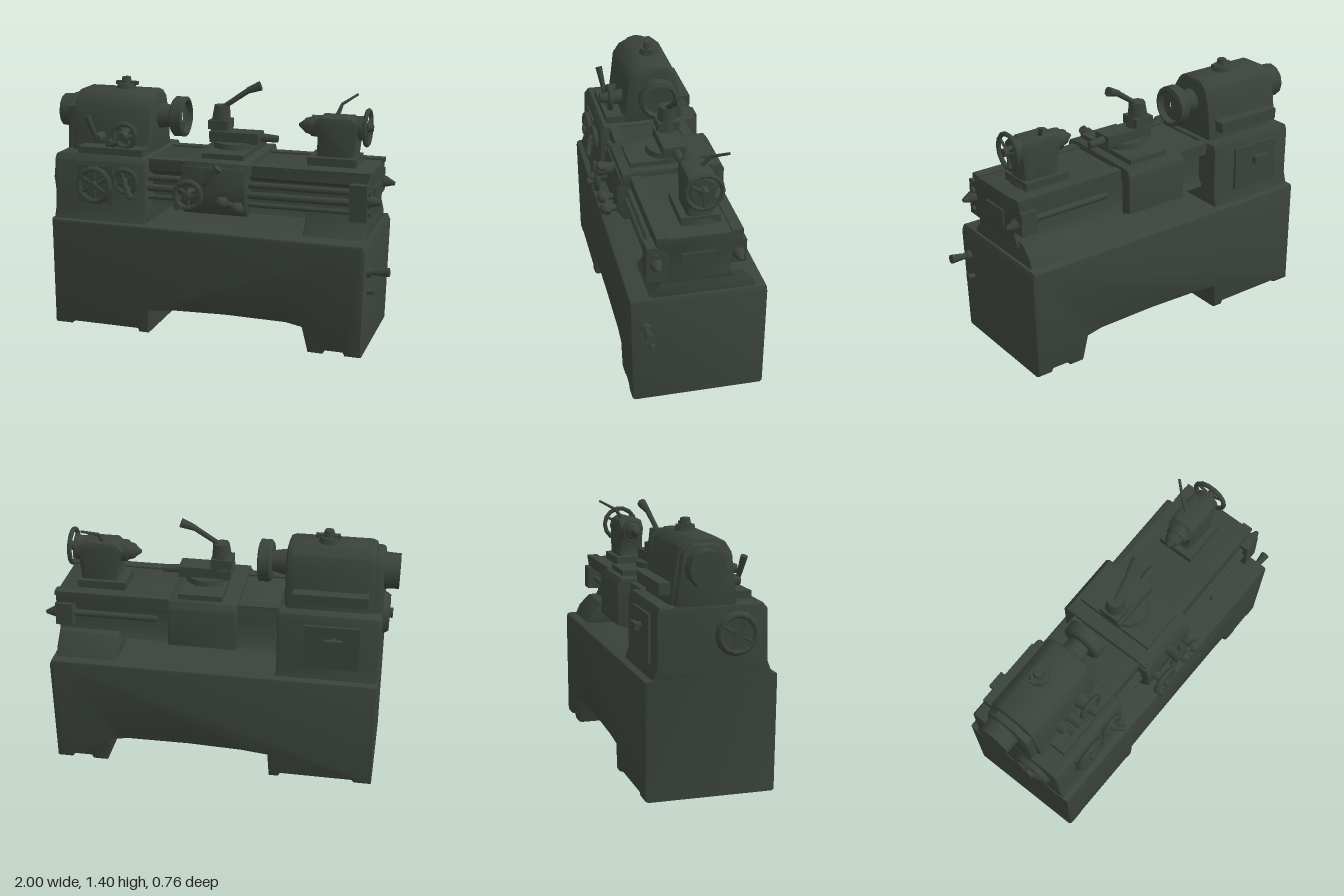
import * as THREE from 'three';
import { toCreasedNormals } from 'three/addons/utils/BufferGeometryUtils.js';

const paint = new THREE.MeshStandardMaterial({ color: 0x3a423c });
paint.name = 'dark green grey paint';

const V = (a) => new THREE.Vector3(...a);

export function createModel() {
  const model = new THREE.Group();
  model.name = 'metalworkingLathe';

  const add = (name, geo, parent = model) => {
    const m = new THREE.Mesh(geo, paint);
    m.name = name;
    parent.add(m);
    return m;
  };
  const group = (name) => {
    const g = new THREE.Group();
    g.name = name;
    model.add(g);
    return g;
  };
  // Box given by its limits on each axis
  const box = (name, x0, x1, y0, y1, z0, z1, parent) =>
    add(name, new THREE.BoxGeometry(x1 - x0, y1 - y0, z1 - z0)
      .translate((x0 + x1) / 2, (y0 + y1) / 2, (z0 + z1) / 2), parent);
  // Round bar between two points, r0 at the first end and r1 at the second
  const bar = (name, a, b, r0, r1 = r0, sides = 10, parent = model) => {
    const A = V(a), d = V(b).sub(A), len = d.length();
    const geo = new THREE.CylinderGeometry(r1, r0, len, sides).translate(0, len / 2, 0);
    geo.applyQuaternion(new THREE.Quaternion().setFromUnitVectors(new THREE.Vector3(0, 1, 0), d.normalize()));
    return add(name, geo.translate(A.x, A.y, A.z), parent);
  };
  const bevelled = (pts, depth, b, holes = []) => {
    const shape = new THREE.Shape(pts.map((p) => new THREE.Vector2(...p)));
    shape.holes = holes;
    return new THREE.ExtrudeGeometry(shape, {
      depth: depth - 2 * b, bevelEnabled: b > 0, bevelSize: b, bevelThickness: b, bevelOffset: -b, bevelSegments: 2,
    }).translate(0, 0, b);
  };
  // Profile of [z, y] points swept along x
  const sweepX = (name, pts, x0, x1, b, parent) =>
    add(name, toCreasedNormals(bevelled(pts, x1 - x0, b).rotateY(-Math.PI / 2).translate(x1, 0, 0), 0.7), parent);
  // Spoked wheel facing z or x
  const wheel = (name, x, y, z, r, tube, axis = 'z', spokes = 3) => {
    const g = group(name);
    add('rim', new THREE.TorusGeometry(r - tube, tube, 6, 14), g);
    bar('hub', [0, 0, -0.03], [0, 0, 0.03], r * 0.28, r * 0.2, 10, g);
    for (let i = 0; i < spokes; i++) {
      const t = (i / spokes) * Math.PI * 2 + 0.5;
      bar('spoke', [0, 0, 0], [Math.cos(t) * (r - tube), Math.sin(t) * (r - tube), 0], tube * 0.7, tube * 0.7, 6, g);
    }
    if (axis === 'x') g.rotation.y = Math.PI / 2;
    g.position.set(x, y, z);
    return g;
  };

  // Cabinet base with arched underside; the front flares slightly to the right
  const baseGeo = bevelled([
    [-0.93, 0.01], [-0.83, 0.01], [-0.82, 0.025], [-0.42, 0.025], [-0.41, 0.005], [-0.355, 0.005], [-0.345, 0.14],
    [-0.2, 0.155], [0.1, 0.165], [0.45, 0.162], [0.54, 0.145], [0.575, 0.005], [0.66, 0.005], [0.67, 0.025],
    [0.77, 0.025], [0.78, 0.005], [0.87, 0.005], [0.885, 0.6], [0.87, 0.635], [-0.93, 0.635],
  ], 0.71, 0.018).translate(0, 0, -0.38);
  const bp = baseGeo.attributes.position;
  for (let i = 0; i < bp.count; i++) {
    if (bp.getZ(i) > 0) bp.setZ(i, bp.getZ(i) + bp.getX(i) * 0.015 + (bp.getY(i) > 0.3 ? 0.008 : 0));
  }
  add('cabinetBase', toCreasedNormals(baseGeo, 0.7));
  bar('baseLever', [0.87, 0.475, 0.27], [1.0, 0.485, 0.27], 0.012, 0.026, 8);
  bar('baseLeverBoss', [0.87, 0.475, 0.27], [0.905, 0.475, 0.27], 0.03, 0.025);
  bar('basePin', [0.87, 0.355, 0.24], [0.92, 0.36, 0.24], 0.016);

  // Gearbox under the headstock
  sweepX('gearbox', [[0.3, 0.62], [0.27, 0.7], [0.265, 0.97], [0.24, 1.0], [-0.3, 1.0], [-0.315, 0.97],
    [-0.315, 0.7], [-0.34, 0.62]], -0.925, -0.375, 0.015);
  box('rearPanel', -0.82, -0.52, 0.7, 0.95, -0.33, -0.31);
  bar('rearHandleStem', [-0.68, 0.87, -0.32], [-0.68, 0.87, -0.375], 0.02);
  box('rearHandle', -0.73, -0.63, 0.85, 0.89, -0.375, -0.35);
  bar('endGearCover', [-0.92, 0.85, 0.1], [-0.945, 0.85, 0.1], 0.12, 0.11, 12);
  wheel('endGear', -0.945, 0.85, 0.1, 0.11, 0.014, 'x', 4);

  // Dials on the gearbox front
  box('dialPlate', -0.78, -0.57, 0.73, 0.95, 0.26, 0.275);
  wheel('feedDial', -0.675, 0.84, 0.29, 0.11, 0.018, 'z', 6);
  bar('feedDialDisc', [-0.675, 0.84, 0.26], [-0.675, 0.84, 0.295], 0.085, 0.075, 12);
  wheel('speedDial', -0.49, 0.875, 0.285, 0.08, 0.014, 'z', 4);
  bar('speedDialDisc', [-0.49, 0.875, 0.26], [-0.49, 0.875, 0.285], 0.06, 0.06, 12);
  bar('dialLever', [-0.49, 0.875, 0.31], [-0.44, 0.79, 0.33], 0.014, 0.018, 8);

  // Headstock
  sweepX('headstock', [[0.13, 0.98], [0.11, 1.12], [0.095, 1.25], [0.06, 1.305], [0, 1.335], [-0.13, 1.335],
    [-0.185, 1.29], [-0.215, 1.18], [-0.235, 0.98]], -0.88, -0.4, 0.035);
  sweepX('headstockEnd', [[0.1, 0.98], [0.08, 1.24], [0, 1.305], [-0.13, 1.305], [-0.18, 1.26], [-0.22, 0.98]],
    -0.92, -0.8, 0.02);
  box('rearLedge', -0.85, -0.45, 1.05, 1.11, -0.285, -0.2);
  box('frontLedge', -0.8, -0.41, 1.0, 1.04, 0.1, 0.22);
  bar('spindleCover', [-0.9, 1.19, -0.075], [-1.0, 1.19, -0.075], 0.1, 0.095, 12);
  bar('oilCap', [-0.615, 1.32, -0.075], [-0.615, 1.365, -0.075], 0.06, 0.05, 10);
  bar('oilCapKnob', [-0.615, 1.36, -0.075], [-0.615, 1.4, -0.075], 0.035, 0.025, 8);
  box('oilCapBar', -0.675, -0.545, 1.355, 1.375, -0.09, -0.06);

  // Headstock controls
  wheel('headstockDial', -0.53, 1.11, 0.18, 0.08, 0.015, 'z', 4);
  bar('headstockDialBoss', [-0.53, 1.11, 0.09], [-0.53, 1.11, 0.235], 0.05, 0.025, 10);
  for (const [x, y, dx, dy] of [[-0.7, 1.08, -0.045, 0.13], [-0.62, 1.05, 0.07, 0.02]]) {
    bar('leverBoss', [x, y, 0.09], [x, y, 0.19], 0.035, 0.028);
    bar('shiftLever', [x, y, 0.18], [x + dx, y + dy, 0.2], 0.013, 0.02, 8);
  }

  // Spindle and hollow chuck
  bar('spindleNose', [-0.41, 1.19, -0.06], [-0.3, 1.19, -0.06], 0.075, 0.055, 14);
  const chuck = [[0.03, 0], [0.1, 0], [0.115, 0.012], [0.115, 0.07], [0.095, 0.078], [0.085, 0.045], [0.03, 0.04]]
    .map((p) => new THREE.Vector2(...p));
  add('chuck', toCreasedNormals(new THREE.LatheGeometry(chuck, 16).rotateZ(-Math.PI / 2), 0.6)).position.set(-0.318, 1.19, -0.06);

  // Bed with two ways, web and right end support
  sweepX('bed', [[0.21, 0.985], [0.21, 0.93], [0.15, 0.9], [0.15, 0.77], [0.18, 0.72], [-0.21, 0.72],
    [-0.18, 0.77], [-0.18, 0.9], [-0.24, 0.93], [-0.24, 0.985]], -0.39, 0.865, 0.008);
  for (const z of [-0.21, 0.18]) box('bedWay', -0.39, 0.87, 0.97, 0.995, z - 0.03, z + 0.03);
  sweepX('bedFoot', [[0.25, 0.625], [0.2, 0.69], [0.17, 0.75], [-0.24, 0.75], [-0.3, 0.69], [-0.33, 0.625]], 0.515, 0.855, 0.01);
  box('endBracket', 0.77, 0.865, 0.74, 0.94, 0.13, 0.26);
  box('rearBracket', 0.77, 0.865, 0.8, 0.93, -0.26, -0.15);
  box('endPlate', 0.86, 0.875, 0.8, 0.89, -0.09, 0.08);

  // Lead screw and feed rods
  for (const [y, z, r] of [[0.89, 0.215, 0.018], [0.835, 0.225, 0.02], [0.78, 0.215, 0.014]]) {
    bar('feedRod', [-0.38, y, z], [0.88, y, z], r);
  }
  bar('rodCollar', [0.85, 0.85, 0.215], [0.89, 0.85, 0.215], 0.035, 0.03);
  bar('rodTip', [0.88, 0.85, 0.215], [0.935, 0.845, 0.215], 0.035, 0.01, 8);
  bar('rearRod', [0.3, 0.86, -0.215], [0.89, 0.86, -0.215], 0.018);
  bar('rearRodTip', [0.87, 0.86, -0.215], [0.93, 0.85, -0.215], 0.035, 0.01, 8);

  // Carriage: saddle, apron and rear skirt
  sweepX('saddle', [[0.27, 0.94], [0.25, 1.005], [0.18, 1.02], [-0.29, 1.015], [-0.315, 0.98], [-0.315, 0.76],
    [-0.25, 0.74], [-0.245, 0.945]], -0.155, 0.22, 0.008);
  sweepX('apron', [[0.2, 0.99], [0.265, 0.98], [0.285, 0.9], [0.28, 0.77], [0.24, 0.715], [0.16, 0.715], [0.155, 0.99]],
    -0.165, 0.205, 0.012);
  wheel('apronHandwheel', -0.1, 0.84, 0.345, 0.09, 0.016);
  bar('handwheelShaft', [-0.1, 0.84, 0.26], [-0.1, 0.84, 0.36], 0.03, 0.025);
  bar('handwheelGrip', [-0.15, 0.78, 0.34], [-0.15, 0.78, 0.385], 0.016, 0.02, 8);
  bar('crossFeedShaft', [0.03, 0.955, 0.25], [0.03, 0.955, 0.355], 0.03, 0.04);
  bar('crossFeedCrank', [-0.02, 0.9, 0.335], [0.07, 1.0, 0.335], 0.018, 0.026, 8);
  for (const [x, y] of [[0.175, 0.785], [0.09, 0.81]]) {
    bar('apronKnobStem', [x, y, 0.26], [x, y, 0.34], 0.018);
    add('apronKnob', new THREE.SphereGeometry(0.034, 10, 8)).position.set(x, y, 0.34);
  }
  bar('apronLever', [0.09, 0.81, 0.32], [0.21, 0.775, 0.335], 0.014, 0.02, 8);

  // Cross slide, compound slide and tool post
  box('crossSlide', -0.07, 0.17, 1.01, 1.045, -0.26, 0.2);
  bar('swivelBase', [0.05, 1.02, -0.03], [0.05, 1.075, -0.03], 0.125, 0.115, 14);
  box('compoundSlide', -0.085, 0.2, 1.07, 1.13, -0.1, 0.02);
  bar('compoundScrew', [0.19, 1.1, -0.05], [0.295, 1.095, -0.055], 0.025, 0.02, 8);
  bar('toolPost', [-0.03, 1.12, -0.05], [-0.03, 1.2, -0.05], 0.065, 0.05, 10);
  box('toolHolder', -0.095, 0.02, 1.14, 1.19, -0.11, 0.01);
  bar('toolPostCap', [-0.035, 1.19, -0.05], [-0.03, 1.27, -0.05], 0.055, 0.045, 8);
  bar('clampHandle', [-0.03, 1.255, -0.05], [0.12, 1.36, -0.07], 0.014, 0.016, 8);
  bar('clampHandleGrip', [0.11, 1.355, -0.07], [0.185, 1.385, -0.08], 0.017, 0.027, 8);

  // Tailstock
  const tail = bevelled([[0.49, 0.985], [0.77, 0.985], [0.75, 1.04], [0.76, 1.13], [0.76, 1.22], [0.72, 1.25],
    [0.55, 1.25], [0.5, 1.2], [0.53, 1.13], [0.53, 1.04]], 0.15, 0.03).translate(0, 0, -0.125);
  add('tailstockBody', toCreasedNormals(tail, 0.7));
  box('tailstockFoot', 0.49, 0.76, 0.985, 1.03, -0.15, 0.06);
  bar('tailstockBarrel', [0.49, 1.185, -0.05], [0.78, 1.185, -0.05], 0.06, 0.068, 12);
  bar('quill', [0.45, 1.185, -0.05], [0.5, 1.185, -0.05], 0.04, 0.055, 10);
  bar('centerPoint', [0.45, 1.185, -0.05], [0.415, 1.185, -0.05], 0.035, 0.008, 10);
  wheel('tailstockWheel', 0.8, 1.19, -0.05, 0.108, 0.013, 'x');
  bar('tailstockLever', [0.62, 1.23, -0.07], [0.64, 1.3, -0.12], 0.014, 0.009, 8);
  bar('tailstockLeverTip', [0.64, 1.3, -0.12], [0.71, 1.345, -0.2], 0.009, 0.007, 8);

  return model;
}
